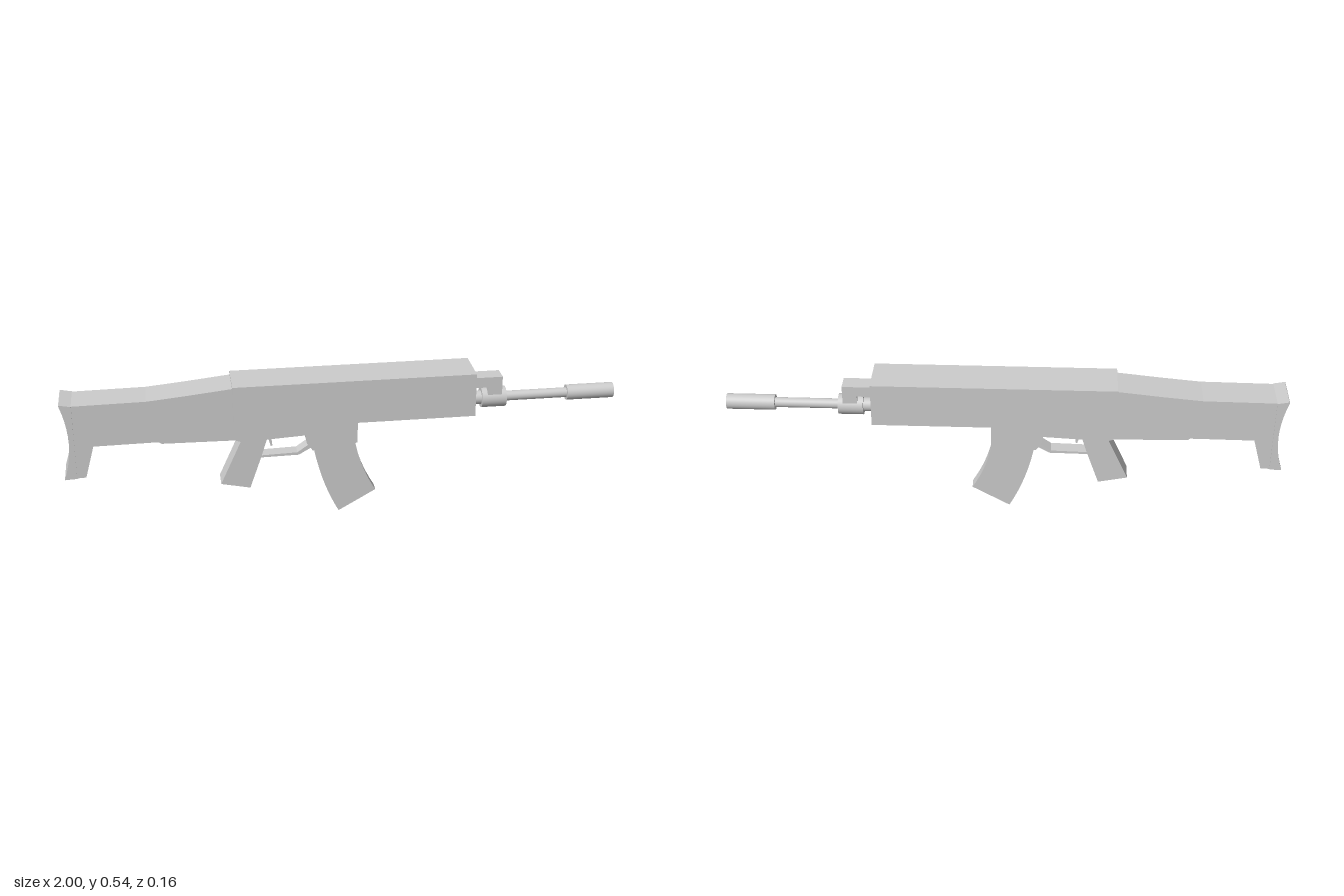
import * as THREE from 'three';

const material = new THREE.MeshStandardMaterial({ color: 0xcccccc, flatShading: true });
const smooth = new THREE.MeshStandardMaterial({ color: 0xcccccc });
const BORE_Y = 0.418;

export function createModel() {
  const group = new THREE.Group();

  const add = (name, geometry, mat = material) => {
    const mesh = new THREE.Mesh(geometry, mat);
    mesh.name = name;
    group.add(mesh);
    return mesh;
  };

  // Box given by its x and y limits and half its width in z
  const box = (name, x0, x1, y0, y1, half) => {
    add(name, new THREE.BoxGeometry(x1 - x0, y1 - y0, half * 2))
      .position.set((x0 + x1) / 2, (y0 + y1) / 2, 0);
  };

  // Side profile extruded evenly to both sides of z = 0
  const slab = (name, points, half) => {
    const shape = new THREE.Shape(points.map(([x, y]) => new THREE.Vector2(x, y)));
    const geometry = new THREE.ExtrudeGeometry(shape, { depth: half * 2, bevelEnabled: false });
    geometry.translate(0, 0, -half);
    add(name, geometry);
  };

  // Points along a quadratic curve, for curved profile edges
  const arc = (a, c, b, n) => new THREE.QuadraticBezierCurve(
    new THREE.Vector2(...a), new THREE.Vector2(...c), new THREE.Vector2(...b)
  ).getPoints(n).map((p) => [p.x, p.y]);

  // Round part along the bore axis, open-ended when it has an inner radius
  const round = (name, x0, x1, r, inner = 0, floor = 0) => {
    const profile = inner
      ? [[0, x0], [r, x0], [r, x0], [r, x1], [r, x1], [inner, x1], [inner, x1], [inner, floor], [inner, floor], [0, floor]]
      : [[0, x0], [r, x0], [r, x0], [r, x1], [r, x1], [0, x1]];
    const geometry = new THREE.LatheGeometry(profile.map(([a, b]) => new THREE.Vector2(a, b)), 32);
    // Axis y becomes x; flat normals per profile step keep the rims sharp
    const normal = geometry.attributes.normal;
    const count = profile.length;
    for (let i = 0; i < normal.count; i++) {
      const k = i % count;
      const j = k % 2 ? k - 1 : k;
      const dr = profile[j + 1][0] - profile[j][0];
      const dy = profile[j + 1][1] - profile[j][1];
      const length = Math.hypot(dr, dy);
      const phi = Math.floor(i / count) / 32 * Math.PI * 2;
      normal.setXYZ(i, dy / length * Math.sin(phi), -dr / length, dy / length * Math.cos(phi));
    }
    geometry.rotateZ(-Math.PI / 2);
    geometry.translate(0, BORE_Y, 0);
    add(name, geometry, smooth);
  };

  // Main housing
  box('receiver', -0.4, 0.47, 0.38, 0.542, 0.078);

  // Shoulder stock with its downward toe
  slab('stock', [
    [-0.39, 0.534], [-0.56, 0.516], [-0.7, 0.503], [-0.97, 0.5], [-0.97, 0.222],
    [-0.925, 0.224], [-0.892, 0.343], [-0.665, 0.345], [-0.655, 0.338], [-0.39, 0.334],
  ], 0.066);

  // Concave pad at the rear
  slab('buttPad', [
    [-0.957, 0.5], [-0.998, 0.508],
    ...arc([-1, 0.506], [-0.95, 0.36], [-1, 0.22], 10),
    [-0.957, 0.222],
  ], 0.069);

  // Lower housing under the receiver
  slab('lowerReceiver', [
    [-0.4, 0.385], [-0.4, 0.335], [-0.37, 0.325], [-0.28, 0.33], [0.045, 0.347], [0.045, 0.385],
  ], 0.066);

  // Grip, trigger and guard
  slab('grip', [
    [-0.365, 0.335], [-0.45, 0.15], [-0.345, 0.128], [-0.305, 0.242], [-0.275, 0.335],
  ], 0.039);
  slab('trigger', [
    [-0.28, 0.34], [-0.274, 0.31], [-0.265, 0.276], [-0.259, 0.278], [-0.262, 0.31], [-0.25, 0.34],
  ], 0.009);
  slab('triggerGuard', [
    [-0.315, 0.248], [-0.315, 0.24], [-0.165, 0.242], [-0.12, 0.268], [-0.13, 0.28], [-0.17, 0.252],
  ], 0.025);

  // Magazine well and curved magazine
  slab('magazineWell', [
    [-0.147, 0.35], [-0.136, 0.29], [-0.115, 0.262], [0.047, 0.284], [0.047, 0.36],
  ], 0.04);
  slab('magazine', [
    ...arc([-0.113, 0.285], [-0.09, 0.13], [-0.02, 0.002], 8),
    ...arc([0.117, 0.08], [0.055, 0.18], [0.038, 0.3], 8),
  ], 0.023);

  // Gas block above the barrel
  box('gasBlock', 0.46, 0.577, 0.468, 0.507, 0.031);
  box('gasBlockPost', 0.525, 0.577, 0.425, 0.47, 0.031);

  // Barrel, collars and hollow muzzle
  round('barrelBase', 0.46, 0.51, 0.025);
  round('barrelCollar', 0.505, 0.595, 0.037);
  round('barrel', 0.59, 0.84, 0.018);
  round('muzzle', 0.825, 1, 0.028, 0.022, 0.9);

  return group;
}
